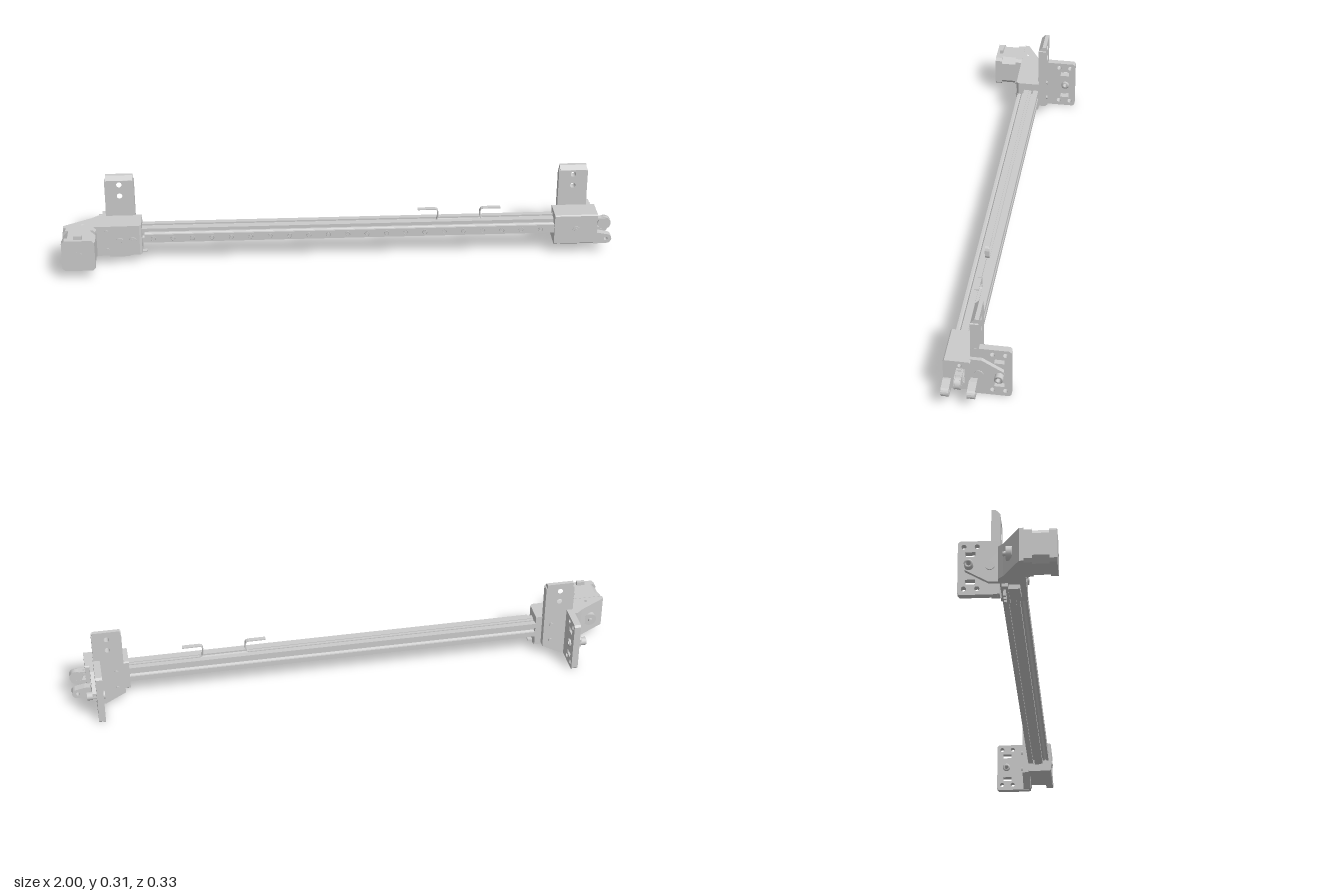
import * as THREE from 'three';

const mat = new THREE.MeshStandardMaterial({ color: 0xcccccc, flatShading: false });

// Shape from corner points, with round holes [u, v, r] or rectangular holes [u0, v0, u1, v1]
function outline(pts, holes = []) {
  const s = new THREE.Shape(pts.map(p => new THREE.Vector2(p[0], p[1])));
  for (const h of holes) {
    const p = new THREE.Path();
    if (h.length === 3) p.absarc(h[0], h[1], h[2], 0, Math.PI * 2, true);
    else p.setFromPoints([[h[0], h[1]], [h[0], h[3]], [h[2], h[3]], [h[2], h[1]]].map(q => new THREE.Vector2(...q)));
    s.holes.push(p);
  }
  return s;
}
const rect = (a, b, c, d, k = 0) => k
  ? [[a + k, b], [c - k, b], [c, b + k], [c, d - k], [c - k, d], [a + k, d], [a, d - k], [a, b + k]]
  : [[a, b], [c, b], [c, d], [a, d]];

export function createModel() {
  const root = new THREE.Group();
  root.name = 'beltDrivenLinearAxis';

  const add = (parent, name, geo) => {
    const m = new THREE.Mesh(geo, mat);
    m.name = name;
    parent.add(m);
    return m;
  };
  // Extrude a shape along one axis between two positions.
  // x: shape is (z, y); y: shape is (x, -z); z: shape is (x, y)
  const prism = (parent, name, axis, from, to, pts, holes) => {
    const g = new THREE.ExtrudeGeometry(outline(pts, holes), { depth: to - from, bevelEnabled: false, curveSegments: 10 });
    if (axis === 'x') g.rotateY(-Math.PI / 2).translate(to, 0, 0);
    else if (axis === 'y') g.rotateX(-Math.PI / 2).translate(0, from, 0);
    else g.translate(0, 0, from);
    return add(parent, name, g);
  };
  const box = (parent, name, x0, x1, y0, y1, z0, z1) => add(parent, name,
    new THREE.BoxGeometry(x1 - x0, y1 - y0, z1 - z0).translate((x0 + x1) / 2, (y0 + y1) / 2, (z0 + z1) / 2));
  const rod = (parent, name, axis, r, len, x, y, z, sides = 20) => {
    const g = new THREE.CylinderGeometry(r, r, len, sides);
    if (axis === 'x') g.rotateZ(Math.PI / 2);
    if (axis === 'z') g.rotateX(Math.PI / 2);
    return add(parent, name, g.translate(x, y, z));
  };
  const group = name => {
    const g = new THREE.Group();
    g.name = name;
    root.add(g);
    return g;
  };

  // Slotted beam: one side profile turned four times
  const beam = group('beam');
  const h = 0.0285, o = 0.009, l = 0.006, i = 0.016, d = 0.018;
  const side = [[-h, h], [-o, h], [-o, h - l], [-i, h - l], [-o, h - d], [o, h - d], [i, h - l], [o, h - l], [o, h]];
  const profile = [];
  for (let k = 0; k < 4; k++) {
    const c = Math.round(Math.cos(k * Math.PI / 2)), s = Math.round(Math.sin(k * Math.PI / 2));
    for (const [u, v] of side) profile.push([u * c + v * s - 0.0015, v * c - u * s + 0.1025]);
  }
  prism(beam, 'slottedExtrusion', 'x', -0.72, 0.79, profile, [[-0.0015, 0.1025, 0.005]]);

  // Guide rail with counterbored screw holes, waisted in section
  prism(beam, 'guideRail', 'x', -0.71, 0.785, [
    [0.027, 0.0865], [0.034, 0.0865], [0.038, 0.0905], [0.043, 0.0865], [0.051, 0.0865],
    [0.051, 0.1185], [0.043, 0.1185], [0.038, 0.1145], [0.034, 0.1185], [0.027, 0.1185]]);
  for (let k = 0; k < 21; k++) {
    const x = -0.678 + k * 0.0706;
    add(beam, 'railHoleRim', new THREE.TorusGeometry(0.008, 0.0012, 4, 16).translate(x, 0.1025, 0.051));
    rod(beam, 'railScrew', 'z', 0.005, 0.002, x, 0.1025, 0.0515, 6);
  }

  // Belt lying in the top slot, its two ends folded up
  const belt = group('belt');
  box(belt, 'lowerBelt', -0.85, 0.95, 0.077, 0.080, -0.004, 0.012);
  const strip = (name, path) => {
    const t = 0.0035, n = path.length, a = [], b = [];
    path.forEach((p, k) => {
      const q = path[Math.max(k - 1, 0)], r = path[Math.min(k + 1, n - 1)];
      const dx = r[0] - q[0], dy = r[1] - q[1], m = Math.hypot(dx, dy);
      a.push([p[0] - dy / m * t / 2, p[1] + dx / m * t / 2]);
      b.unshift([p[0] + dy / m * t / 2, p[1] - dx / m * t / 2]);
    });
    prism(belt, name, 'z', -0.003, 0.013, a.concat(b));
  };
  for (const [x, s, end] of [[0.36, 1, -0.85], [0.515, -1, 0.95]]) {
    strip('beltEnd', [[end, 0.127], [x - s * 0.014, 0.127], [x - s * 0.004, 0.131], [x, 0.141],
      [x, 0.163], [x - s * 0.003, 0.171], [x - s * 0.011, 0.174], [x - s * 0.074, 0.174]]);
  }

  // Mounting plates, mirrored about each end's own centre
  const mount = (name, cx, s) => {
    const g = group(name);
    const X = v => cx + s * v;
    const span = (a, b) => [Math.min(X(a), X(b)), Math.max(X(a), X(b))];
    const [a, b] = span(-0.053, 0.053);
    prism(g, 'uprightPlate', 'z', -0.055, -0.026,
      [[X(-0.053), 0.045], [X(0.02), 0.005], [X(0.053), 0.005], [X(0.053), 0.298], [X(0.045), 0.301],
        [X(-0.045), 0.301], [X(-0.053), 0.298]],
      [[cx, 0.285, 0.01], [cx, 0.24, 0.01]]);
    prism(g, 'uprightTop', 'x', a + 0.004, b - 0.004, [[-0.026, 0.3], [-0.041, 0.316], [-0.055, 0.316], [-0.055, 0.3]]);
    // Flange standing square to the beam, with screw holes and slots
    const [p, q] = span(0.030, 0.054);
    const holes = [[-0.125, 0.1, 0.009]];
    for (const z of [-0.10, -0.143]) for (const y of [0.025, 0.178]) holes.push([z, y, 0.0085]);
    for (const y of [0.041, 0.141]) holes.push([-0.139, y, -0.105, y + 0.017]);
    prism(g, 'sideFlange', 'x', p, q, rect(-0.163, 0.003, -0.028, 0.198, 0.007), holes);
    // Pointed arm bolted to the outside of the flange
    const [u, v] = span(0.054, 0.068);
    prism(g, 'bracketArm', 'x', u, v,
      [[-0.025, 0.042], [-0.062, 0.042], [-0.139, 0.086], [-0.139, 0.117], [-0.066, 0.16], [-0.025, 0.16]],
      [[-0.125, 0.1, 0.009], [-0.057, 0.1, 0.016]]);
    rod(g, 'armScrew', 'x', 0.015, 0.012, X(0.064), 0.1, -0.057);
    const nut = new THREE.LatheGeometry([[0.008, -0.06], [0.015, -0.06], [0.015, 0.02], [0.008, 0.02], [0.008, -0.06]]
      .map(r => new THREE.Vector2(...r)), 20);
    nut.scale(1, 0.8, 1).rotateZ(-s * Math.PI / 2).translate(X(0.072), 0.1, -0.125);
    if (s < 0) nut.rotateX(0);
    add(g, 'flangeBush', nut);
    // Back screws on the upright plate
    for (const y of [0.07, 0.14]) rod(g, 'plateScrew', 'z', 0.008, 0.008, X(-0.025), y, -0.057, 6);
  };
  mount('rightEndMount', 0.858, 1);
  mount('leftEndMount', -0.797, -1);

  // Idler block with a belt window, lower prongs and pulley
  const idler = group('idlerBlock');
  prism(idler, 'idlerHousing', 'x', 0.785, 0.942, rect(-0.03, 0.042, 0.06, 0.16, 0.004),
    [[-0.012, 0.07, 0.021, 0.131], [0.005, 0.143, 0.007]]);
  rod(idler, 'frontScrew', 'z', 0.014, 0.006, 0.865, 0.1, 0.06);
  rod(idler, 'frontScrewSocket', 'z', 0.007, 0.008, 0.865, 0.1, 0.06, 6);
  for (const z of [0.033, -0.054]) {
    const pts = [[0.93, 0.042], [0.978, 0.042]];
    for (let k = 0; k <= 8; k++) {
      const t = -Math.PI / 2 + k * Math.PI / 8;
      pts.push([0.979 + 0.018 * Math.cos(t), 0.061 + 0.018 * Math.sin(t)]);
    }
    pts.push([0.95, 0.085], [0.93, 0.085]);
    prism(idler, 'prong', 'z', z, z + 0.027, pts, [[0.976, 0.061, 0.007]]);
  }
  rod(idler, 'idlerPulley', 'z', 0.023, 0.016, 0.976, 0.101, 0.004, 28);
  for (const z of [-0.006, 0.014]) rod(idler, 'pulleyRim', 'z', 0.024, 0.003, 0.976, 0.101, z, 28);
  for (const y of [0.083, 0.119]) box(idler, 'tensionArm', 0.9, 0.98, y - 0.003, y + 0.003, -0.008, 0.017);

  // Drive block: carriage-end box that slopes forward to the motor flange
  const drive = group('driveBlock');
  const plan = [[-1, -0.06], [-1, -0.045], [-0.9, 0.012], [-0.88, 0.03], [-0.72, 0.03], [-0.72, -0.05], [-0.728, -0.058], [-0.87, -0.06]];
  const cavity = [[-0.97, -0.047], [-0.89, -0.001], [-0.875, 0.017], [-0.845, 0.017], [-0.845, -0.047]];
  prism(drive, 'housingFloor', 'y', 0.042, 0.066, plan);
  prism(drive, 'housingRoof', 'y', 0.138, 0.16, plan, [[-0.93, -0.04, 0.006]]);
  const wall = prism(drive, 'housingWall', 'y', 0.066, 0.138, plan);
  wall.geometry.dispose();
  const wallShape = outline(plan);
  wallShape.holes.push(new THREE.Path(cavity.map(c => new THREE.Vector2(...c))));
  wall.geometry = new THREE.ExtrudeGeometry(wallShape, { depth: 0.072, bevelEnabled: false })
    .rotateX(-Math.PI / 2).translate(0, 0.066, 0);
  for (const x of [-0.8, -0.752]) {
    rod(drive, 'frontScrew', 'z', 0.014, 0.006, x, 0.1, 0.06);
    rod(drive, 'frontScrewSocket', 'z', 0.007, 0.008, x, 0.1, 0.06, 6);
  }
  for (const y of [0.065, 0.138]) rod(drive, 'cornerScrew', 'z', 0.007, 0.006, -0.845, y, 0.06, 12);
  rod(drive, 'drivePulley', 'z', 0.024, 0.02, -0.94, 0.101, 0.01, 24);
  rod(drive, 'motorShaft', 'z', 0.008, 0.08, -0.94, 0.101, 0.03, 16);

  // Stepper motor: end caps and deeper-cut middle stack
  const motor = group('motor');
  prism(motor, 'frontCap', 'z', 0.06, 0.086, rect(-1, 0.041, -0.882, 0.161, 0.01));
  prism(motor, 'statorStack', 'z', 0.086, 0.141, rect(-1, 0.041, -0.882, 0.161, 0.021));
  prism(motor, 'rearCap', 'z', 0.141, 0.166, rect(-1, 0.041, -0.882, 0.161, 0.01));
  rod(motor, 'rearBearing', 'z', 0.015, 0.004, -0.941, 0.101, 0.165);
  box(motor, 'cableSocket', -0.956, -0.926, 0.155, 0.175, 0.142, 0.155);

  // Limit switch under the drive block
  const limit = group('limitSwitch');
  box(limit, 'switchBody', -0.84, -0.765, 0.026, 0.042, 0.001, 0.039);
  for (const x of [-0.825, -0.802, -0.78]) box(limit, 'terminal', x - 0.004, x + 0.004, 0.008, 0.03, -0.016, -0.008);
  box(limit, 'switchBracket', -0.85, -0.72, 0.03, 0.043, -0.02, 0.0);
  box(limit, 'switchLever', -0.765, -0.705, 0.032, 0.036, 0.004, 0.02);

  // Grub screws on top of the end blocks
  return root;
}
